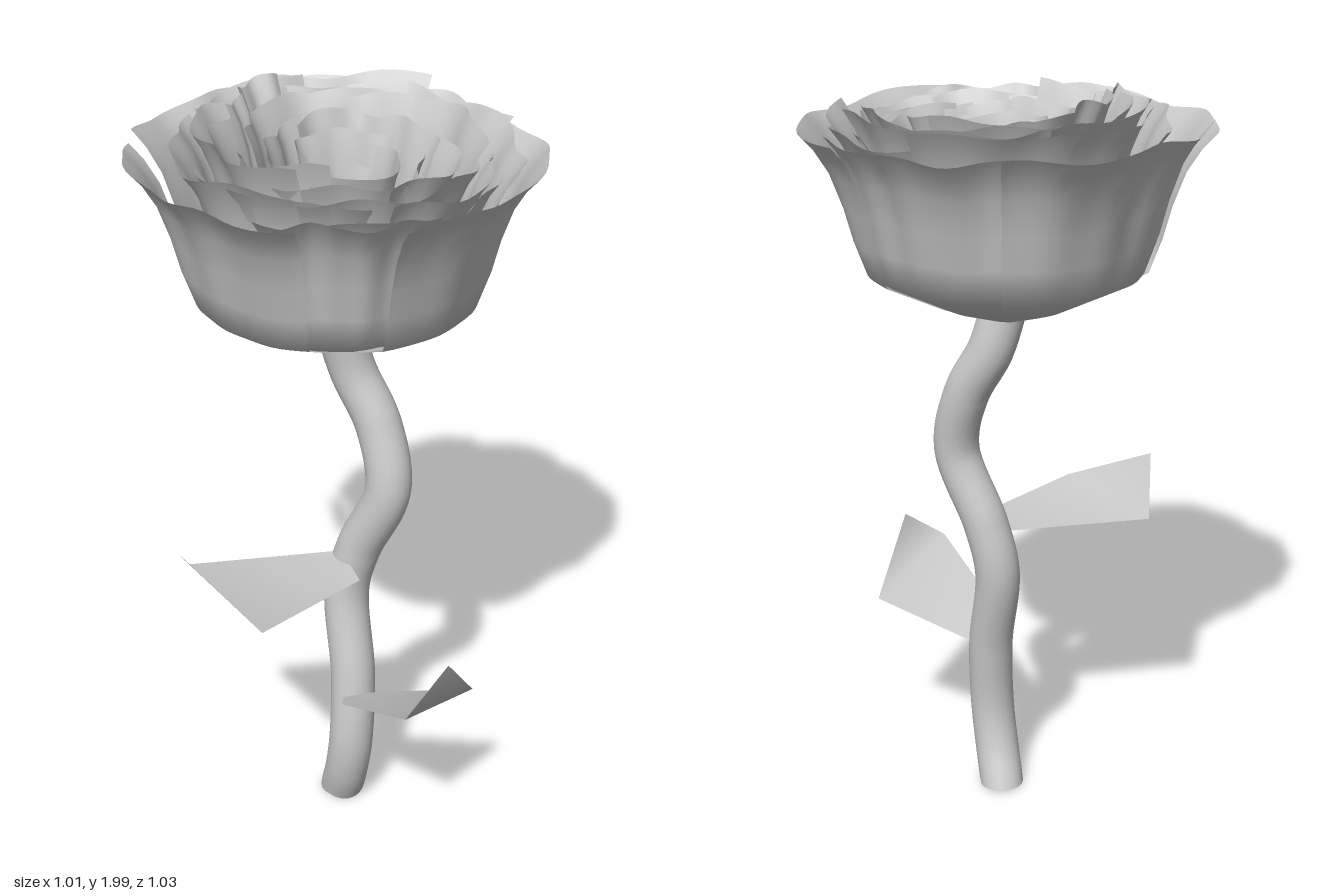
import * as THREE from 'three';

const grey = new THREE.MeshStandardMaterial({ color: 0xcccccc, side: THREE.DoubleSide });
const V = (x, y, z) => new THREE.Vector3(x, y, z);

function makeRandom(seed) {
  return () => {
    seed = (seed * 16807) % 2147483647;
    return seed / 2147483647;
  };
}

// cup section from the stem to the rim: [radius share, height share]
const CUP = [[0.07, 0], [0.38, 0.11], [0.7, 0.27], [0.76, 0.45], [0.8, 0.62], [0.86, 0.8], [0.93, 0.92], [1, 1]];

// one petal: the cup section swept between two angles (degrees, clockwise from +x seen from above)
function petal({ radius, rim, from, to, twist = 0.06, ruffle = 0.015, base = 1.385, rand }) {
  const cols = 24, rows = CUP.length;
  const p1 = rand() * 6, p2 = rand() * 6;
  const pos = [], idx = [];
  for (let i = 0; i <= cols; i++) {
    const u = i / cols;
    const a = THREE.MathUtils.degToRad(from + (to - from) * u);
    for (let j = 0; j < rows; j++) {
      const [cr, ch] = CUP[j];
      const wave = Math.sin(u * 9 + p1) + 0.5 * Math.sin(u * 23 + p2);
      const r = cr * radius * (1 + twist * (u - 0.5)) + ruffle * wave * ch;
      const y = base + (rim - base) * ch + ruffle * 0.7 * Math.sin(u * 13 + p2) * ch ** 2;
      pos.push(r * Math.cos(a), y, r * Math.sin(a));
      if (i < cols && j < rows - 1) {
        const k = i * rows + j;
        idx.push(k, k + 1, k + rows, k + 1, k + rows + 1, k + rows);
      }
    }
  }
  const geo = new THREE.BufferGeometry();
  geo.setAttribute('position', new THREE.Float32BufferAttribute(pos, 3));
  geo.setIndex(idx);
  geo.computeVertexNormals();
  return new THREE.Mesh(geo, grey);
}

// leaf: flat blade narrowing to the stem, with its tip folded up
function leaf(name, base, sideA, sideB, tip) {
  const pts = [...base, sideA, sideB, tip];
  const n = pts.length;
  const idx = [n - 3, n - 1, n - 2];
  for (let i = 1; i < n - 2; i++) idx.push(0, i, i + 1);
  const geo = new THREE.BufferGeometry().setFromPoints(pts);
  geo.setIndex(idx);
  geo.computeVertexNormals();
  const mesh = new THREE.Mesh(geo, grey);
  mesh.name = name;
  return mesh;
}

function buildStem() {
  const path = new THREE.CatmullRomCurve3([
    V(0, 0, 0.04), V(0, 0.1, 0.085), V(0.005, 0.22, 0.108), V(0.015, 0.42, 0.09),
    V(0.013, 0.66, 0.037), V(0.04, 0.8, 0.055), V(0.1, 1.0, 0.113),
    V(0.085, 1.17, 0.07), V(0.035, 1.3, 0.02), V(0, 1.42, 0.01),
  ]);
  const sides = 20, radius = 0.06;
  const geo = new THREE.TubeGeometry(path, 60, radius, sides);
  // level cut at the foot
  for (let i = 0; i <= sides; i++) geo.attributes.position.setY(i, 0);
  const stalk = new THREE.Mesh(geo, grey);
  stalk.name = 'stalk';
  const foot = new THREE.Mesh(new THREE.CircleGeometry(radius, sides), grey);
  foot.name = 'stalkFoot';
  foot.rotation.x = Math.PI / 2;
  foot.scale.y = 0.91;
  foot.position.z = 0.04;
  const stem = new THREE.Group();
  stem.name = 'stem';
  stem.add(stalk, foot);
  return stem;
}

function buildFlower() {
  const rand = makeRandom(4711);
  const flower = new THREE.Group();
  flower.name = 'flower';
  const add = (name, options, x = 0, z = 0) => {
    const mesh = petal({ ...options, rand });
    mesh.name = name;
    mesh.position.set(x, 0, z);
    flower.add(mesh);
  };

  // outer petals
  for (const [from, to, radius, rim] of [
    [118, 206, 0.5, 1.88], [76, 124, 0.475, 1.88], [-14, 90, 0.495, 1.88],
    [-75, -8, 0.475, 1.89], [-154, -70, 0.495, 1.9],
  ]) add('outerPetal', { from, to, radius, rim, twist: 0.02, ruffle: 0.012 });

  // nested rings of petals, set slightly off centre: [radius, rim height, count, start angle]
  [
    [0.415, 1.9, 4, 35], [0.365, 1.91, 4, 80], [0.32, 1.91, 3, 10],
    [0.26, 1.9, 3, 70], [0.195, 1.89, 3, 120],
  ].forEach(([radius, rim, count, start], ring) => {
    const step = 360 / count;
    for (let k = 0; k < count; k++) {
      const from = start + k * step;
      const high = 0.04 * Math.cos(THREE.MathUtils.degToRad(from + step / 2 - 250));
      add('innerPetal', {
        from, to: from + step * 1.12, radius, rim: rim + high,
        twist: 0.1, ruffle: 0.014, base: 1.39 + ring * 0.008,
      }, 0.018, 0.01);
    }
  });

  // tall folded petal at the back left
  add('foldedPetal', { from: 205, to: 258, radius: 0.29, rim: 1.98, twist: 0.25, ruffle: 0.014, base: 1.42 });

  // loose bud in the middle: [from, to, radius, rim height]
  for (const [from, to, radius, rim] of [
    [-30, 190, 0.15, 1.87], [170, 340, 0.13, 1.89], [60, 330, 0.07, 1.82], [-60, 120, 0.04, 1.78],
  ]) add('budPetal', { from, to, radius, rim, twist: 0.3, ruffle: 0.01, base: 1.44 }, 0.01, 0.01);
  return flower;
}

export function createModel() {
  const model = new THREE.Group();
  model.name = 'rose';
  model.add(
    buildStem(),
    buildFlower(),
    leaf('upperLeaf',
      [V(0.005, 0.775, 0.175), V(0, 0.78, 0.03)],
      V(-0.4, 0.78, -0.02), V(-0.3, 0.78, 0.34), V(-0.46, 0.91, 0.12)),
    leaf('lowerLeaf',
      [V(0.04, 0.39, 0.15), V(-0.03, 0.39, 0.15), V(-0.06, 0.43, 0.23)],
      V(0.02, 0.565, 0.51), V(0.27, 0.48, 0.33), V(0.15, 0.67, 0.46)),
  );
  return model;
}
